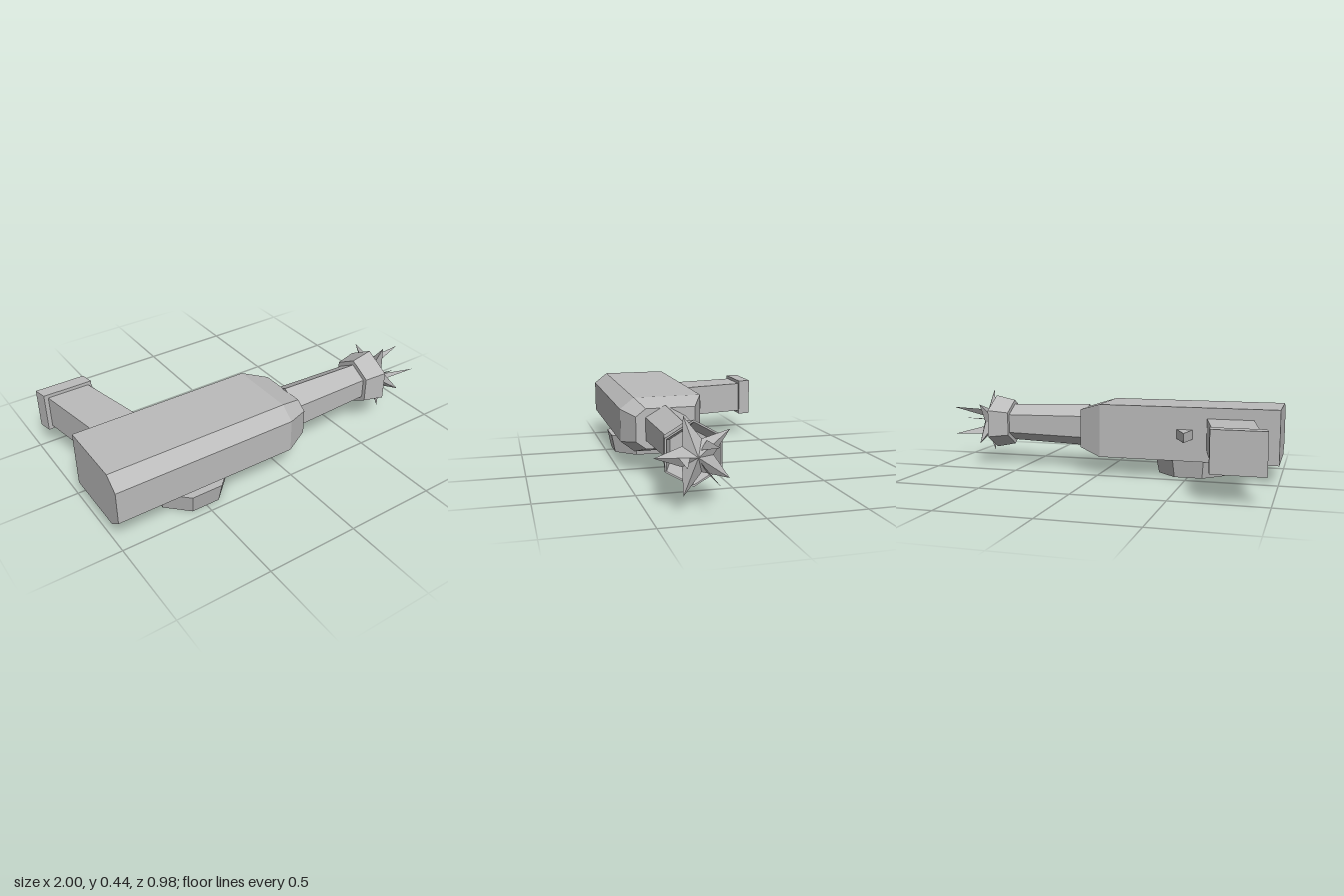
import * as THREE from 'three';

const grey = new THREE.MeshStandardMaterial({ color: 0xbbbbbb, flatShading: true });
grey.name = 'grey';
const greyThin = grey.clone();
greyThin.name = 'grey two-sided';
greyThin.side = THREE.DoubleSide;

const AXIS_Y = 0.25, AXIS_Z = 0.264; // barrel axis, running along x

// Skin a row of equal-length loops and close both ends; faces always point outwards.
function loft(name, loops) {
  const tris = [];
  const n = loops[0].length;
  const centre = (loop) =>
    loop.reduce((sum, p) => sum.add(p), new THREE.Vector3()).divideScalar(n);
  for (let s = 0; s < loops.length - 1; s++) {
    for (let i = 0; i < n; i++) {
      const j = (i + 1) % n;
      const [a, b, c, d] = [loops[s][i], loops[s][j], loops[s + 1][j], loops[s + 1][i]];
      tris.push([a, b, c], [a, c, d]);
    }
  }
  const first = loops[0], last = loops[loops.length - 1];
  const c0 = centre(first), c1 = centre(last);
  for (let i = 0; i < n; i++) {
    const j = (i + 1) % n;
    tris.push([c0, first[j], first[i]], [c1, last[i], last[j]]);
  }
  const solid = tris.filter(([a, b, c]) =>
    b.clone().sub(a).cross(c.clone().sub(a)).length() > 1e-9);
  const volume = solid.reduce((v, [a, b, c]) => v + a.dot(b.clone().cross(c)), 0);
  const points = solid.flatMap(([a, b, c]) => (volume < 0 ? [a, c, b] : [a, b, c]));
  const geometry = new THREE.BufferGeometry().setFromPoints(points);
  geometry.computeVertexNormals();
  const mesh = new THREE.Mesh(geometry, grey);
  mesh.name = name;
  return mesh;
}

// Point at a radius and angle about the barrel axis (angle 0 points to +z).
function around(x, r, angle) {
  return new THREE.Vector3(x, AXIS_Y + r * Math.sin(angle), AXIS_Z + r * Math.cos(angle));
}

// Hexagon with a corner at the top.
function hexagon(x, r) {
  return Array.from({ length: 6 }, (_, i) => around(x, r, Math.PI / 2 + (i * Math.PI) / 3));
}

// Body section: square at the back, chamfered at the front.
function bodySection(x, zBack, zChamfer, zFront, half, halfFront) {
  return [
    [zBack, -half], [zChamfer, -half], [zFront, -halfFront],
    [zFront, halfFront], [zChamfer, half], [zBack, half],
  ].map(([z, y]) => new THREE.Vector3(x, AXIS_Y + y, z));
}

// Rectangle across the grip at depth z.
function gripSection(z, x0, x1, half) {
  return [[x0, -half], [x1, -half], [x1, half], [x0, half]]
    .map(([x, y]) => new THREE.Vector3(x, AXIS_Y + y, z));
}

export function createModel() {
  const model = new THREE.Group();
  model.name = 'toyBlaster';

  // Main body with a tapered nose
  model.add(loft('body', [
    bodySection(-1, 0.037, 0.41, 0.487, 0.15, 0.09),
    bodySection(0, 0.037, 0.41, 0.487, 0.15, 0.09),
    bodySection(0.132, 0.1, 0.37, 0.425, 0.11, 0.068),
  ]));

  // Six-sided barrel and hollow flared muzzle
  model.add(loft('barrel', [hexagon(0.125, 0.125), hexagon(0.615, 0.108)]));
  model.add(loft('muzzle', [
    hexagon(0.608, 0.135), hexagon(0.728, 0.16), hexagon(0.728, 0.15), hexagon(0.63, 0.105),
  ]));

  // Five-pointed star in front of the muzzle
  const outline = Array.from({ length: 10 }, (_, i) =>
    around(0.77, i % 2 ? 0.083 : 0.2, (i * Math.PI) / 5));
  const peak = (x) => outline.map(() => around(x, 0, 0));
  model.add(loft('star', [peak(0.73), outline, peak(0.81)]));

  // Three flat blades reaching forward
  for (let i = 0; i < 3; i++) {
    const angle = (i * Math.PI * 2) / 3;
    const geometry = new THREE.BufferGeometry().setFromPoints([
      around(0.78, 0.03, angle), around(0.995, 0.098, angle), around(0.795, 0.088, angle),
    ]);
    geometry.computeVertexNormals();
    const blade = new THREE.Mesh(geometry, greyThin);
    blade.name = 'blade';
    model.add(blade);
  }

  // Slanted grip, its butt and the trigger
  model.add(loft('grip', [
    gripSection(0.05, -0.86, -0.607, 0.09), gripSection(-0.425, -0.942, -0.71, 0.09),
  ]));
  model.add(loft('gripButt', [
    gripSection(-0.417, -0.963, -0.69, 0.109), gripSection(-0.49, -0.978, -0.703, 0.109),
  ]));
  model.add(loft('trigger', [
    gripSection(0.045, -0.533, -0.44, 0.026), gripSection(-0.105, -0.508, -0.507, 0.026),
  ]));

  // Eight-sided drum beneath the body
  const drum = new THREE.Mesh(
    new THREE.CylinderGeometry(0.226, 0.203, 0.106, 8).rotateY(Math.PI / 8), grey);
  drum.name = 'drum';
  drum.position.set(-0.505, 0.053, AXIS_Z);
  model.add(drum);

  return model;
}
